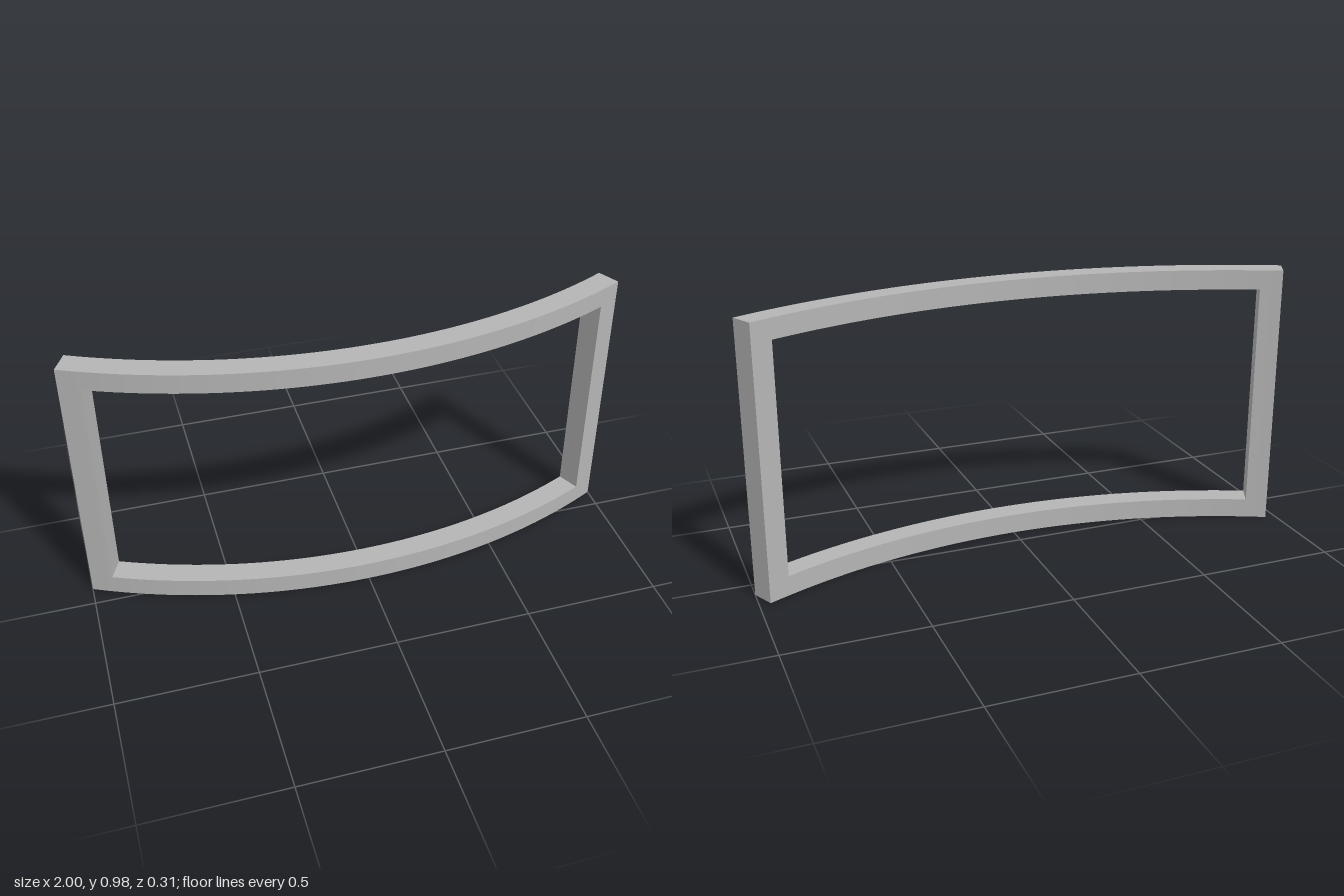
import * as THREE from 'three';

const OUTER = 2.262, INNER = 2.175;   // radii of the front and back faces
const CENTRE_Z = -2.106;              // axis of the curve
const HALF = Math.asin(1 / OUTER);    // half angle of the whole frame
const OPEN = Math.asin(0.925 / OUTER); // half angle of the opening
const HEIGHT = 0.978, RAIL = 0.072;

// A box whose x is an angle and z a radius, bent around the vertical axis
function bentBox(a0, a1, y0, y1, segments, keepCaps = true) {
  const geo = new THREE.BoxGeometry(a1 - a0, y1 - y0, OUTER - INNER, segments, 1, 1);
  geo.translate((a0 + a1) / 2, (y0 + y1) / 2, (OUTER + INNER) / 2);
  if (!keepCaps) {
    // leave out the top and bottom faces, which meet the rails
    const index = Array.from(geo.index.array);
    const [, , top, bottom] = geo.groups;
    geo.setIndex(index.filter((_, i) => i < top.start || i >= bottom.start + bottom.count));
  }
  geo.clearGroups();
  const p = geo.attributes.position, n = geo.attributes.normal;
  for (let i = 0; i < p.count; i++) {
    const a = p.getX(i), r = p.getZ(i), s = Math.sin(a), c = Math.cos(a);
    const nx = n.getX(i), nz = n.getZ(i);
    p.setXYZ(i, r * s, p.getY(i), r * c + CENTRE_Z);
    n.setXYZ(i, nx * c + nz * s, n.getY(i), nz * c - nx * s);
  }
  return geo;
}

export function createModel() {
  const model = new THREE.Group();
  model.name = 'curvedFrame';
  const grey = new THREE.MeshStandardMaterial({ color: 0xb4b4b4 });
  grey.name = 'grey';

  const add = (name, geo) => {
    const mesh = new THREE.Mesh(geo, grey);
    mesh.name = name;
    model.add(mesh);
  };

  // Long curved rails
  add('bottomRail', bentBox(-HALF, HALF, 0, RAIL, 48));
  add('topRail', bentBox(-HALF, HALF, HEIGHT - RAIL, HEIGHT, 48));

  // Upright posts between the rails
  add('leftPost', bentBox(OPEN, HALF, RAIL, HEIGHT - RAIL, 2, false));
  add('rightPost', bentBox(-HALF, -OPEN, RAIL, HEIGHT - RAIL, 2, false));

  return model;
}
